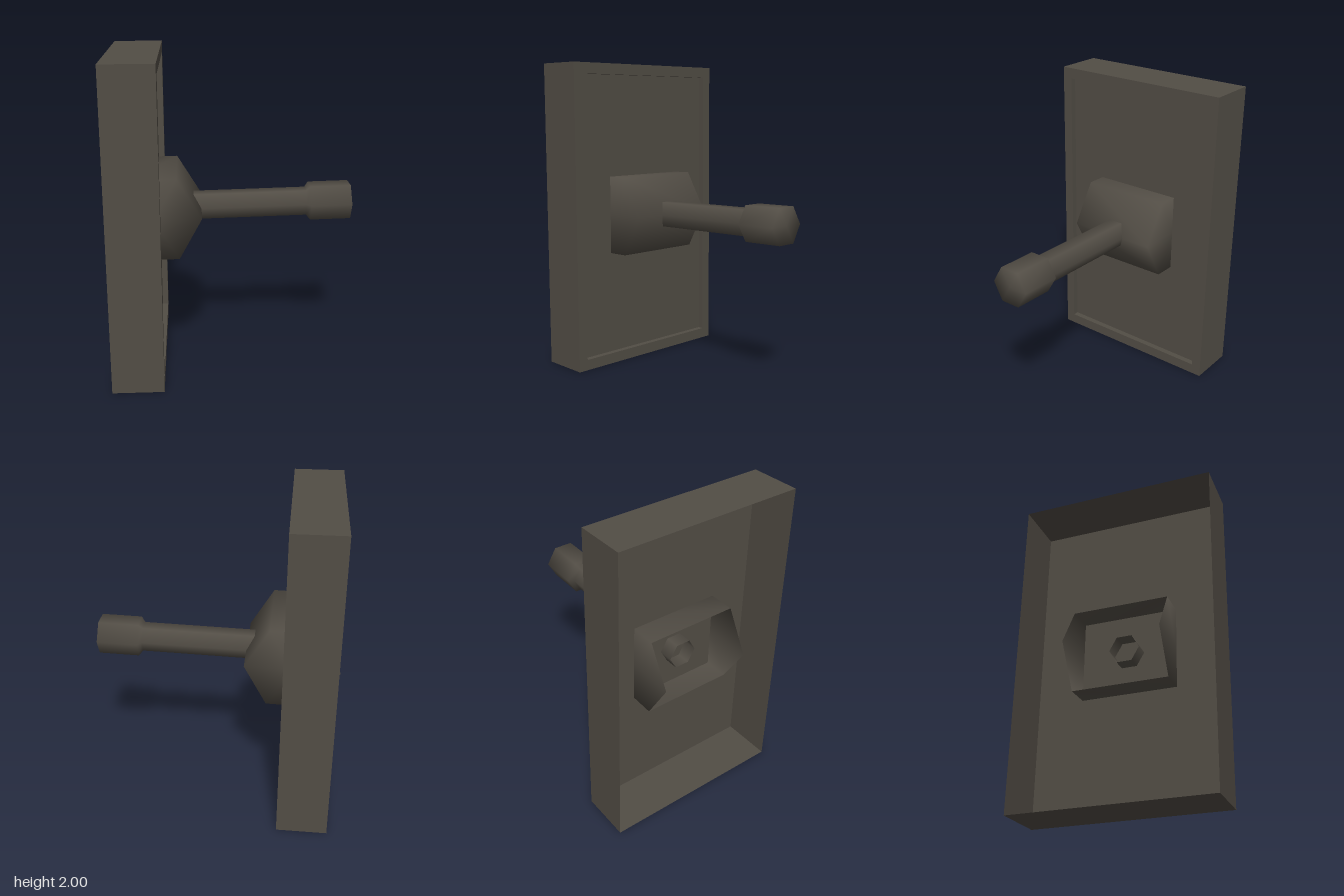
import * as THREE from 'three';
import { mergeGeometries, mergeVertices } from 'three/addons/utils/BufferGeometryUtils.js';

const darkMetal = new THREE.MeshStandardMaterial({ color: 0x524d45, side: THREE.DoubleSide });
darkMetal.name = 'darkMetal';

const TILT = 0.0225; // slight upward tilt of the switch, in radians

function addMesh(parent, name, geometry) {
  const mesh = new THREE.Mesh(geometry, darkMetal);
  mesh.name = name;
  parent.add(mesh);
  return mesh;
}

// Four flat faces joining two rectangles that lie across x; each is [x, halfHeight, halfDepth].
function rectangularBand(a, b) {
  const corner = ([x, h, d], i) => {
    const [sy, sz] = [[-1, 1], [-1, -1], [1, -1], [1, 1]][i % 4];
    return [x, sy * h, sz * d];
  };
  const positions = [];
  for (let i = 0; i < 4; i++) {
    const [p, q, r, s] = [corner(a, i), corner(a, i + 1), corner(b, i + 1), corner(b, i)];
    positions.push(...p, ...q, ...r, ...p, ...r, ...s);
  }
  const g = new THREE.BufferGeometry();
  g.setAttribute('position', new THREE.Float32BufferAttribute(positions, 3));
  g.computeVertexNormals();
  return g;
}

// Six-sided barrel across z, open towards the back of the casing
function housingGeometry(radius, halfLength) {
  const sides = new THREE.CylinderGeometry(radius, radius, halfLength * 2, 6 - 2, 1, true,
    -Math.PI / 6, Math.PI * 4 / 3).rotateX(Math.PI / 2);
  const capA = new THREE.CircleGeometry(radius, 6).translate(0, 0, halfLength);
  const capB = new THREE.CircleGeometry(radius, 6).rotateY(Math.PI).translate(0, 0, -halfLength);
  const pieces = [sides, capA, capB];
  pieces.forEach((g) => { g.deleteAttribute('normal'); g.deleteAttribute('uv'); });
  const merged = mergeVertices(mergeGeometries(pieces), 0.001);
  merged.computeVertexNormals();
  return merged;
}

export function createModel() {
  const model = new THREE.Group();
  model.name = 'wallSwitch';

  // Casing: thin shell, open at the back, with a recessed face plate
  const casing = new THREE.Group();
  casing.name = 'casing';
  casing.position.y = 1;
  model.add(casing);
  const sections = [
    [-0.755, 1, 0.605], [-0.435, 1, 0.605], [-0.435, 0.93, 0.54], [-0.475, 0.93, 0.54],
  ];
  ['casingWalls', 'faceRim', 'recessEdge'].forEach((name, i) => {
    addMesh(casing, name, rectangularBand(sections[i], sections[i + 1]));
  });
  addMesh(casing, 'facePlate',
    new THREE.PlaneGeometry(1.08, 1.86).rotateY(Math.PI / 2).translate(-0.475, 0, 0));

  // Switch: pivot housing and lever share the tilt
  const toggle = new THREE.Group();
  toggle.name = 'toggle';
  toggle.position.set(-0.485, 1.006, 0);
  toggle.rotation.z = TILT;
  model.add(toggle);
  addMesh(toggle, 'pivotHousing', housingGeometry(0.297, 0.297));

  // Six-sided lever with a thicker grip
  const profile = [
    [0.094, -0.08], [0.094, 0.975], [0.128, 1.0], [0.128, 1.262], [0, 1.262],
  ].map(([r, y]) => new THREE.Vector2(r, y));
  addMesh(toggle, 'lever', new THREE.LatheGeometry(profile, 6).rotateZ(-Math.PI / 2));

  return model;
}
